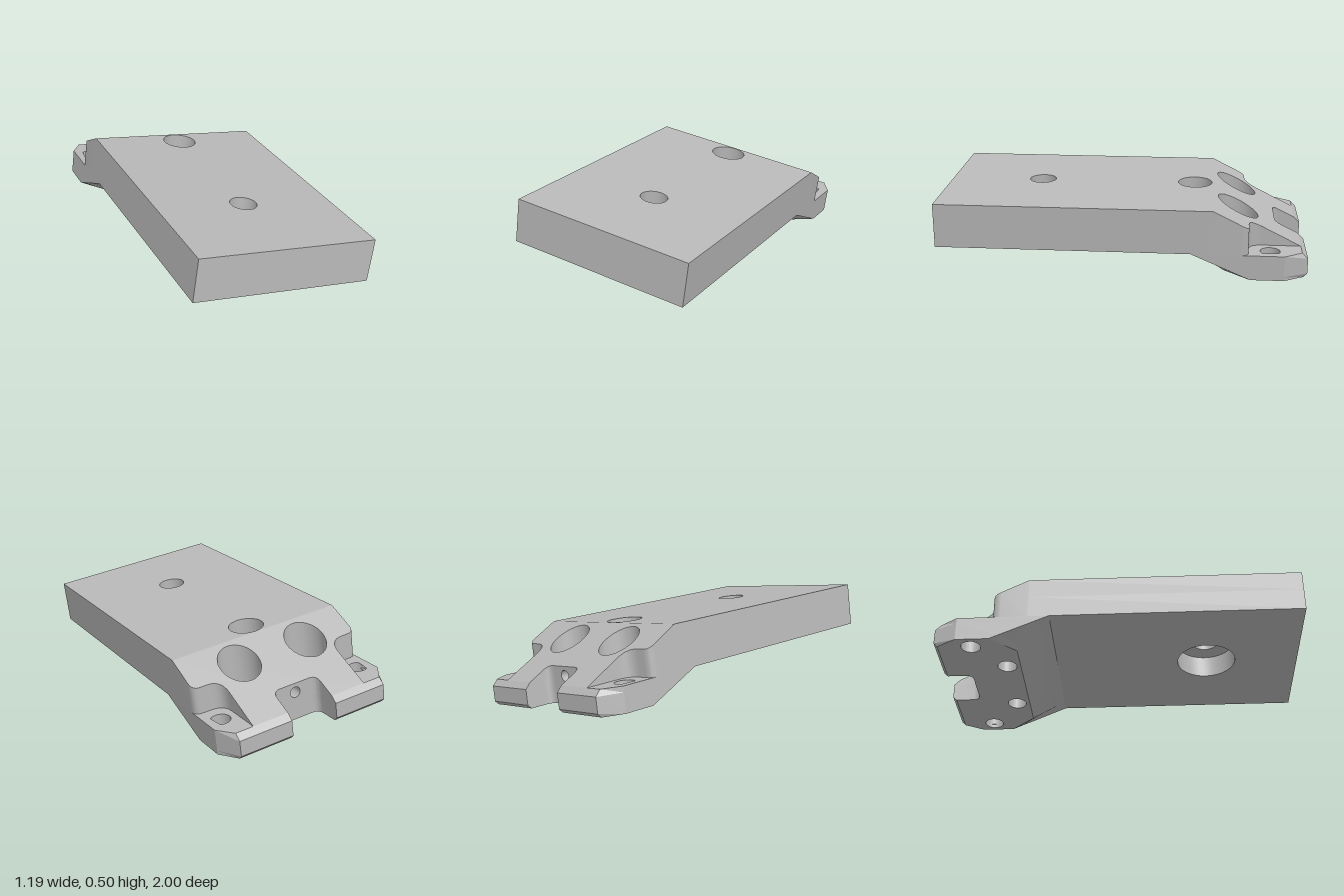
import * as THREE from 'three';
import { toCreasedNormals } from 'three/addons/utils/BufferGeometryUtils.js';

// Local frame: u across, v up from the plate underside, w back from the front edge
const WIDTH = 0.945, MID = WIDTH / 2;
const THICK = 0.228;   // plate thickness
const FOOT = 0.13;     // depth of the rear foot below the plate
const CREASE = 1.41;   // where the top starts to slope
const REAR = 1.89;
const NOSE = 1.86;     // where the slope meets the tab floor
const slope = (w) => Math.min(THICK, THICK * (NOSE - w) / (NOSE - CREASE));

// Closed outline mirrored about the centre line, from a path for its right half
function mirroredShape(draw) {
  const path = new THREE.Path();
  draw(path);
  const half = path.getPoints(7);
  const other = half.map((p) => new THREE.Vector2(WIDTH - p.x, p.y)).reverse();
  return new THREE.Shape([...half, ...other]);
}

function bore(shape, u, w, r) {
  shape.holes.push(new THREE.Path().absellipse(u, w, r, r, 0, Math.PI * 2, true));
}

// Upright slab; warp(u, w, isTop) returns [u, v, w]
function slab(shape, warp) {
  const g = new THREE.ExtrudeGeometry(shape, { depth: 1, bevelEnabled: false, curveSegments: 36 });
  const p = g.attributes.position;
  for (let i = 0; i < p.count; i++) {
    const [u, v, w] = warp(p.getX(i), p.getY(i), p.getZ(i) > 0.5);
    p.setXYZ(i, u, v, -w);
  }
  return toCreasedNormals(g, 0.35);
}

// Rear notch, with a slot left open for the drilled insert
function notch(path) {
  path.lineTo(0.598, 1.777);
  path.quadraticCurveTo(0.598, 1.737, 0.558, 1.737);
  path.lineTo(0.5425, 1.737);
  path.lineTo(0.5425, 1.64);
}

export function createModel() {
  const group = new THREE.Group();
  group.name = 'mountingBracket';
  const metal = new THREE.MeshStandardMaterial({ color: 0xb8b8b8 });
  metal.name = 'grey metal';
  const add = (name, geometry) => {
    const mesh = new THREE.Mesh(geometry, metal);
    mesh.name = name;
    group.add(mesh);
  };

  // Flat plate in two layers: wide recess below, small hole and blind pocket above
  const STEP = 0.12;
  const plate = () => mirroredShape((p) => {
    p.moveTo(WIDTH, 0);
    p.lineTo(WIDTH, CREASE);
  });
  const lower = plate();
  bore(lower, 0.468, 0.49, 0.155);
  add('plateLowerLayer', slab(lower, (u, w, top) => [u, top ? STEP : 0, w]));
  const upper = plate();
  bore(upper, 0.468, 0.49, 0.07);
  bore(upper, 0.468, 1.313, 0.09);
  add('plateUpperLayer', slab(upper, (u, w, top) => [u, top ? THICK : STEP, w]));

  // Sloping head with two screw recesses and cut-away corners above the tabs
  const screwU = [0.265, 0.652], screwW = 1.54;
  const head = mirroredShape((p) => {
    p.moveTo(WIDTH, CREASE);
    p.lineTo(WIDTH, 1.55);
    p.quadraticCurveTo(WIDTH, 1.59, 0.905, 1.59);
    p.lineTo(0.865, 1.59);
    p.quadraticCurveTo(0.79, 1.59, 0.79, 1.665);
    p.lineTo(0.79, NOSE);
    p.lineTo(0.598, NOSE);
    notch(p);
  });
  screwU.forEach((u) => bore(head, u, screwW, 0.105));
  add('slopingHead', slab(head, (u, w, top) => [u, top ? slope(w) : 0, w]));

  // Foot and tabs: slanted front with cut corners, bevelled rear edges
  const levels = [[-FOOT, 0.02], [-0.11, 0], [-0.03, 0], [0, REAR - NOSE]];
  for (let i = 0; i < 3; i++) {
    const foot = mirroredShape((p) => {
      p.moveTo(0.825, 1.47);
      p.lineTo(WIDTH, 1.6);
      p.lineTo(WIDTH, 1.77);
      p.lineTo(0.885, REAR);
      p.lineTo(0.598, REAR);
      notch(p);
    });
    screwU.forEach((u) => bore(foot, u, screwW, 0.05));
    [0.072, WIDTH - 0.072].forEach((u) => bore(foot, u, 1.7, 0.05));
    add('footLayer' + (i + 1), slab(foot, (u, w, top) => {
      const [v, inset] = levels[top ? i + 1 : i];
      const t = (v + FOOT) / FOOT;
      if (w < 1.48) return [u + Math.sign(u - MID) * 0.045 * t, v, 1.47 - 0.17 * t];
      if (Math.abs(u - MID) > 0.47 && w < 1.61) return [u, v, 1.6 - 0.3 * t];
      return [u, v, w > 1.88 ? w - inset : w];
    }));
  }

  // Drilled insert forming the middle of the notch wall
  const insert = new THREE.Shape([[0.4025, -FOOT], [0.5425, -FOOT], [0.5425, 0.1], [0.4025, 0.1]]
    .map(([u, v]) => new THREE.Vector2(u, v)));
  bore(insert, MID, 0.015, 0.028);
  const g = new THREE.ExtrudeGeometry(insert, { depth: 0.097, bevelEnabled: false, curveSegments: 24 });
  g.translate(0, 0, -1.737);
  const p = g.attributes.position;
  for (let i = 0; i < p.count; i++) {
    if (p.getY(i) > 0.09) p.setY(i, slope(-p.getZ(i)));
  }
  add('notchInsert', toCreasedNormals(g, 0.35));

  // Lean the whole part into its resting pose
  const x = new THREE.Vector3(0.98, -0.137, 0.147).normalize();
  const z = new THREE.Vector3().crossVectors(x, new THREE.Vector3(0.137, 0.9905, 0.01)).normalize();
  const y = new THREE.Vector3().crossVectors(z, x);
  group.quaternion.setFromRotationMatrix(new THREE.Matrix4().makeBasis(x, y, z));
  group.position.set(-0.59, 0.275, 0.86);
  const model = new THREE.Group();
  model.name = 'bracket';
  model.add(group);
  return model;
}
